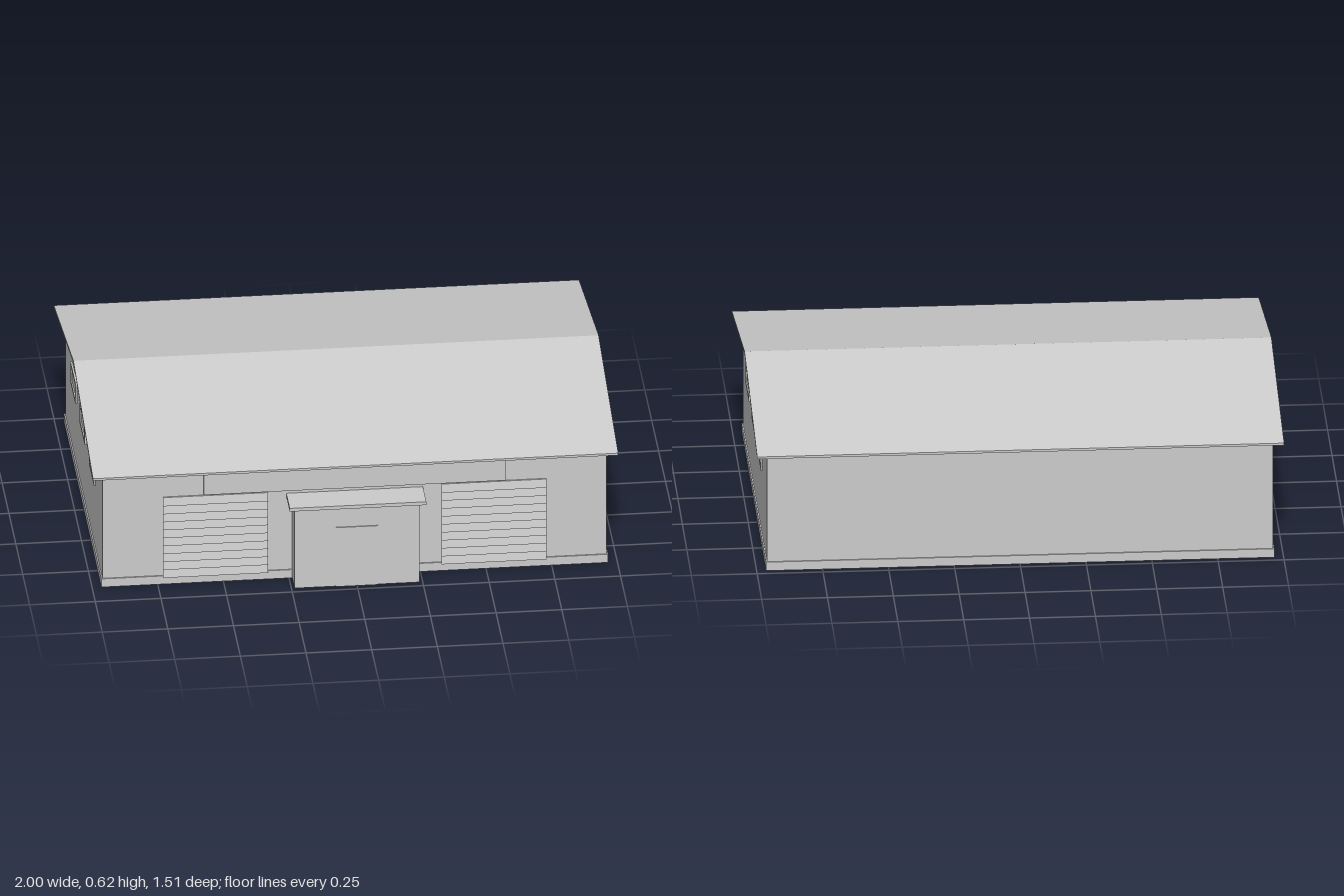
import * as THREE from 'three';

export function createModel() {
  const model = new THREE.Group();
  model.name = 'warehouse';
  const grey = new THREE.MeshStandardMaterial({ color: 0xcccccc });
  grey.name = 'light grey';

  const add = (name, geometry, parent = model) => {
    const mesh = new THREE.Mesh(geometry, grey);
    mesh.name = name;
    parent.add(mesh);
    return mesh;
  };

  // Box given by its limits on each axis
  const box = (name, x0, x1, y0, y1, z0, z1, parent) => {
    const g = new THREE.BoxGeometry(x1 - x0, y1 - y0, z1 - z0);
    g.translate((x0 + x1) / 2, (y0 + y1) / 2, (z0 + z1) / 2);
    return add(name, g, parent);
  };

  // Profile of [z, y] points extruded along x from x0 to x1
  const alongX = (name, points, x0, x1, holes = [], parent = model) => {
    const toVec = ([z, y]) => new THREE.Vector2(z, y);
    const shape = new THREE.Shape(points.map(toVec));
    shape.holes = holes.map(h => new THREE.Path(h.map(toVec)));
    const g = new THREE.ExtrudeGeometry(shape, { depth: x1 - x0, bevelEnabled: false });
    g.rotateY(-Math.PI / 2).translate(x1, 0, 0);
    return add(name, g, parent);
  };

  const rect = (z, y, w, h) => [
    [z - w / 2, y - h / 2], [z + w / 2, y - h / 2],
    [z + w / 2, y + h / 2], [z - w / 2, y + h / 2],
  ];

  // Walls with gables, and the plinth around them
  const ridgeZ = -0.043;
  alongX('walls', [[-0.718, 0], [0.63, 0], [0.63, 0.479], [ridgeZ, 0.606], [-0.718, 0.479]], -0.96, 0.96);
  box('plinth', -0.965, 0.965, 0, 0.035, -0.723, 0.635);

  // Thin pitched roof with overhanging eaves
  alongX('roof', [
    [-0.755, 0.473], [ridgeZ, 0.607], [0.667, 0.473],
    [0.667, 0.482], [ridgeZ, 0.616], [-0.755, 0.482],
  ], -1, 1);

  // Three framed windows on each gable
  for (const side of [1, -1]) {
    for (const z of [0.295, ridgeZ, -0.378]) {
      const win = new THREE.Group();
      win.name = 'gableWindow';
      model.add(win);
      const inner = Math.min(side * 0.958, side * 0.967);
      alongX('windowFrame', rect(z, 0.347, 0.176, 0.088), inner, inner + 0.009,
        [rect(z, 0.347, 0.148, 0.064)], win);
      const pane = side * 0.96;
      box('windowPane', pane - 0.002, pane + 0.002, 0.313, 0.381, z - 0.076, z + 0.076, win);
    }
  }

  // Two roller doors with overlapping slats
  const slats = 10, bottom = 0.03, top = 0.37;
  const profile = [[0.625, bottom]];
  for (let i = 0; i < slats; i++) {
    const step = (top - bottom) / slats;
    profile.push([0.642, bottom + i * step], [0.636, bottom + (i + 1) * step]);
  }
  profile.push([0.625, top]);
  alongX('leftRollerDoor', profile, 0.33, 0.73);
  alongX('rightRollerDoor', profile, -0.73, -0.33);

  // Blank fascia board above the doors
  box('fasciaBoard', -0.575, 0.575, 0.375, 0.479, 0.625, 0.64);

  // Entrance porch with flat canopy and double door
  const porch = new THREE.Group();
  porch.name = 'porch';
  model.add(porch);
  box('porchWalls', -0.238, 0.238, 0, 0.347, 0.62, 0.72, porch);
  box('porchCanopy', -0.26, 0.26, 0.346, 0.36, 0.62, 0.754, porch);
  for (const side of [1, -1]) {
    const a = side * 0.001, b = side * 0.08;
    box('entranceDoor', Math.min(a, b), Math.max(a, b), 0, 0.252, 0.717, 0.724, porch);
  }

  return model;
}
